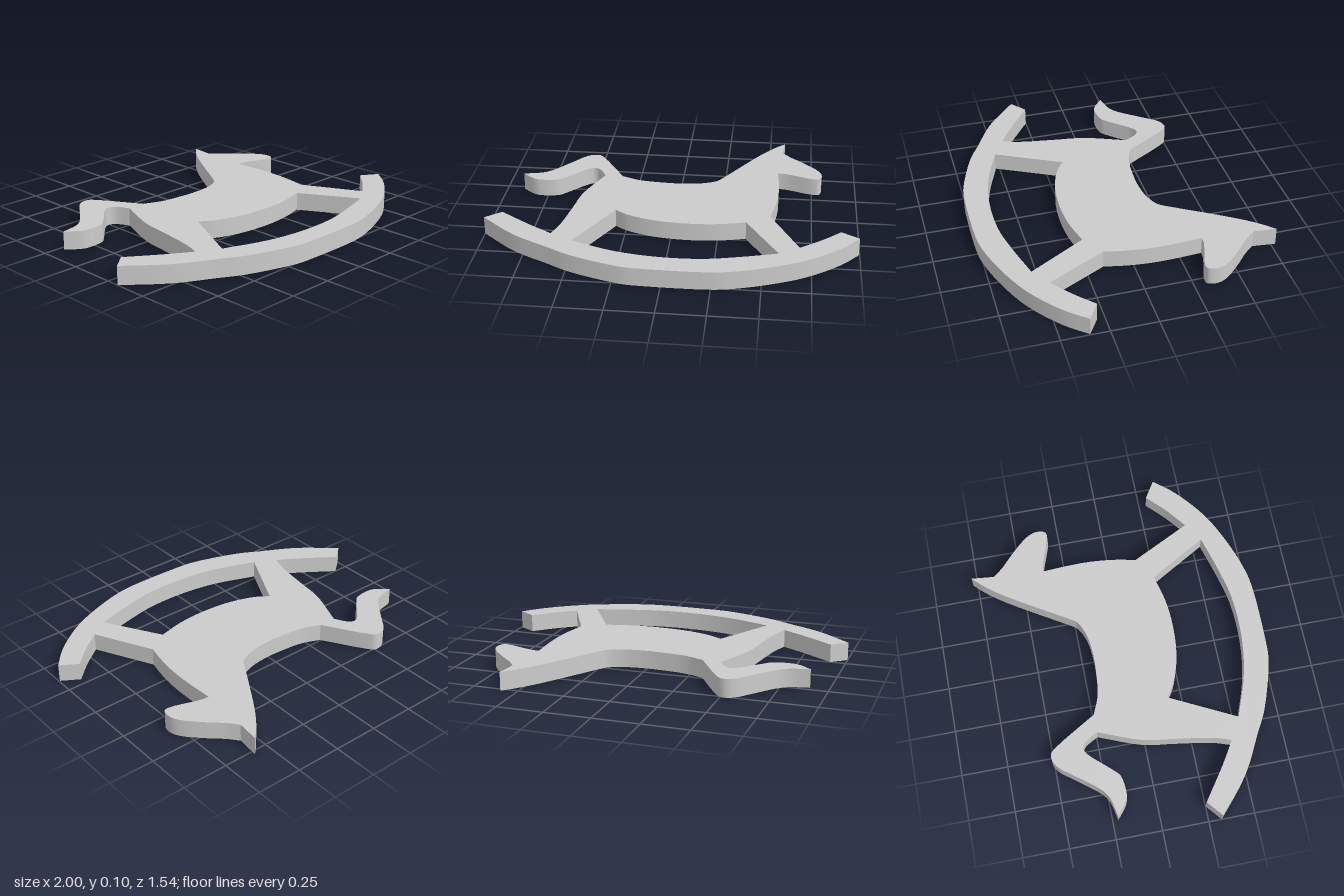
import * as THREE from 'three';
import { toCreasedNormals } from 'three/addons/utils/BufferGeometryUtils.js';

const THICKNESS = 0.1;

// Joins runs of [x, z] points: smooth within a run, sharp where runs meet.
function outline(runs) {
  const points = [];
  for (const run of runs) {
    let pts = run.map(([x, z]) => new THREE.Vector3(x, -z, 0));
    if (run.length > 2) {
      pts = new THREE.CatmullRomCurve3(pts, false, 'centripetal').getPoints((run.length - 1) * 4);
    }
    for (const p of pts) {
      const q = new THREE.Vector2(p.x, p.y);
      if (!points.some((other) => other.distanceTo(q) < 1e-4)) points.push(q);
    }
  }
  return points;
}

export function createModel() {
  const group = new THREE.Group();
  group.name = 'rockingHorse';

  const silhouette = new THREE.Shape(outline([
    // underside of the rocker
    [[-1, 0.32], [-0.8, 0.49], [-0.6, 0.6], [-0.48, 0.665], [-0.2, 0.755], [-0.08, 0.765],
      [0.23, 0.765], [0.34, 0.75], [0.53, 0.69], [0.72, 0.6], [0.9, 0.46], [0.995, 0.35]],
    // front end of the rocker
    [[0.9, 0.29], [0.8, 0.385], [0.685, 0.475]],
    // front leg and chest
    [[0.525, 0.155], [0.55, 0.03], [0.563, -0.1], [0.563, -0.22], [0.555, -0.37]],
    // jaw, muzzle and forehead
    [[0.555, -0.37], [0.6, -0.365], [0.77, -0.313], [0.795, -0.322], [0.805, -0.37],
      [0.785, -0.425], [0.69, -0.53], [0.62, -0.595], [0.575, -0.65]],
    // ear and mane
    [[0.588, -0.775], [0.53, -0.715], [0.45, -0.61], [0.235, -0.265]],
    // saddle
    [[0.235, -0.265], [0.21, -0.235], [0.13, -0.2], [0.02, -0.185], [-0.1, -0.188],
      [-0.23, -0.205], [-0.33, -0.245]],
    // top of the tail
    [[-0.33, -0.245], [-0.47, -0.475], [-0.5, -0.507], [-0.54, -0.508], [-0.58, -0.485],
      [-0.64, -0.41], [-0.75, -0.275], [-0.8, -0.243], [-0.9, -0.22]],
    // underside of the tail
    [[-0.9, -0.22], [-0.83, -0.165], [-0.79, -0.153], [-0.69, -0.165], [-0.65, -0.2],
      [-0.53, -0.325], [-0.5, -0.333], [-0.47, -0.315], [-0.43, -0.245]],
    // hind leg
    [[-0.43, -0.245], [-0.52, -0.01], [-0.545, 0.15], [-0.58, 0.36], [-0.61, 0.455]],
    // rear end of the rocker
    [[-0.61, 0.455], [-0.73, 0.38], [-0.915, 0.25]],
  ]));

  // opening between belly, legs and rocker
  silhouette.holes.push(new THREE.Path(outline([
    [[-0.31, 0.165], [-0.24, 0.212], [-0.1, 0.26], [0.08, 0.28], [0.25, 0.27], [0.4, 0.235]],
    [[0.58, 0.545], [0.38, 0.6], [0.2, 0.637], [-0.03, 0.64], [-0.25, 0.605], [-0.49, 0.52]],
  ])));

  // flat board lying on the ground
  const board = new THREE.ExtrudeGeometry(silhouette, { depth: THICKNESS, bevelEnabled: false });
  board.rotateX(-Math.PI / 2);
  const mesh = new THREE.Mesh(
    toCreasedNormals(board, 0.6),
    new THREE.MeshStandardMaterial({ color: 0xcccccc }),
  );
  mesh.name = 'horseBoard';
  group.add(mesh);
  return group;
}
